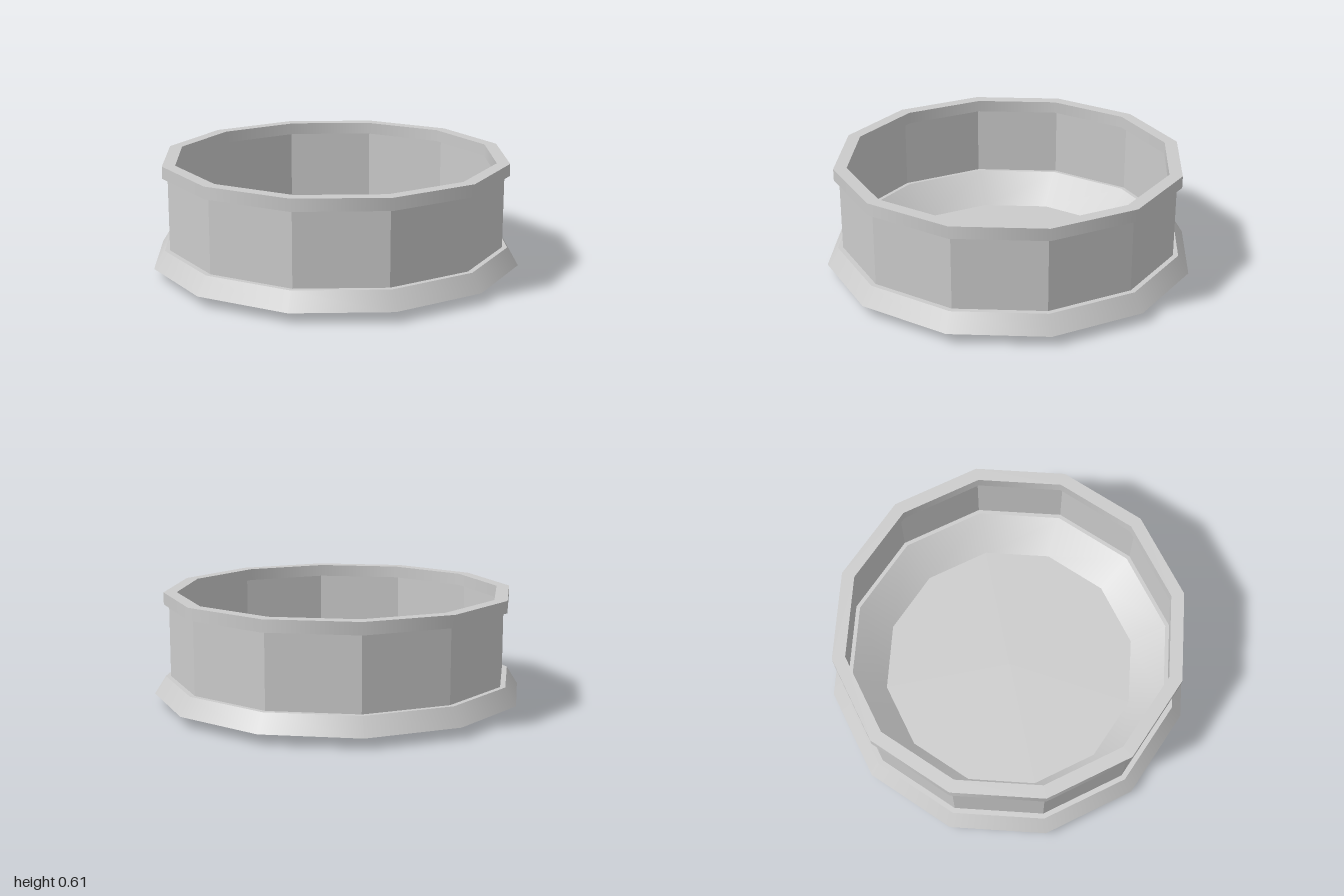
import * as THREE from 'three';
import { mergeGeometries } from 'three/addons/utils/BufferGeometryUtils.js';

const SIDES = 12;

// Twelve-sided surface of revolution: smooth around, sharp between profile bands
function bands(profile) {
  const parts = [];
  for (let i = 0; i < profile.length - 1; i++) {
    const pair = [profile[i], profile[i + 1]].map(([r, y]) => new THREE.Vector2(r, y));
    parts.push(new THREE.LatheGeometry(pair, SIDES));
  }
  return mergeGeometries(parts);
}

export function createModel() {
  const group = new THREE.Group();
  const smooth = new THREE.MeshStandardMaterial({ color: 0xcccccc, side: THREE.DoubleSide });
  const faceted = smooth.clone();
  faceted.flatShading = true;

  const add = (name, geometry, material = smooth) => {
    const mesh = new THREE.Mesh(geometry, material);
    mesh.name = name;
    group.add(mesh);
  };

  // Shallow dish: flat floor and sloping side
  add('dish', bands([[0, 0], [0.705, 0], [0.89, 0.15]]));

  // Flared skirt with a narrow ledge under the wall
  add('skirt', bands([[1, 0.055], [0.94, 0.15], [0.89, 0.15]]));

  // Thin upright wall with flat panels
  const wall = new THREE.CylinderGeometry(0.912, 0.912, 0.4, SIDES, 1, true);
  wall.translate(0, 0.35, 0);
  add('wall', wall, faceted);

  // Closed square-section rim
  add('rim', bands([[0.94, 0.542], [0.94, 0.607], [0.87, 0.607], [0.87, 0.542], [0.94, 0.542]]));

  return group;
}
